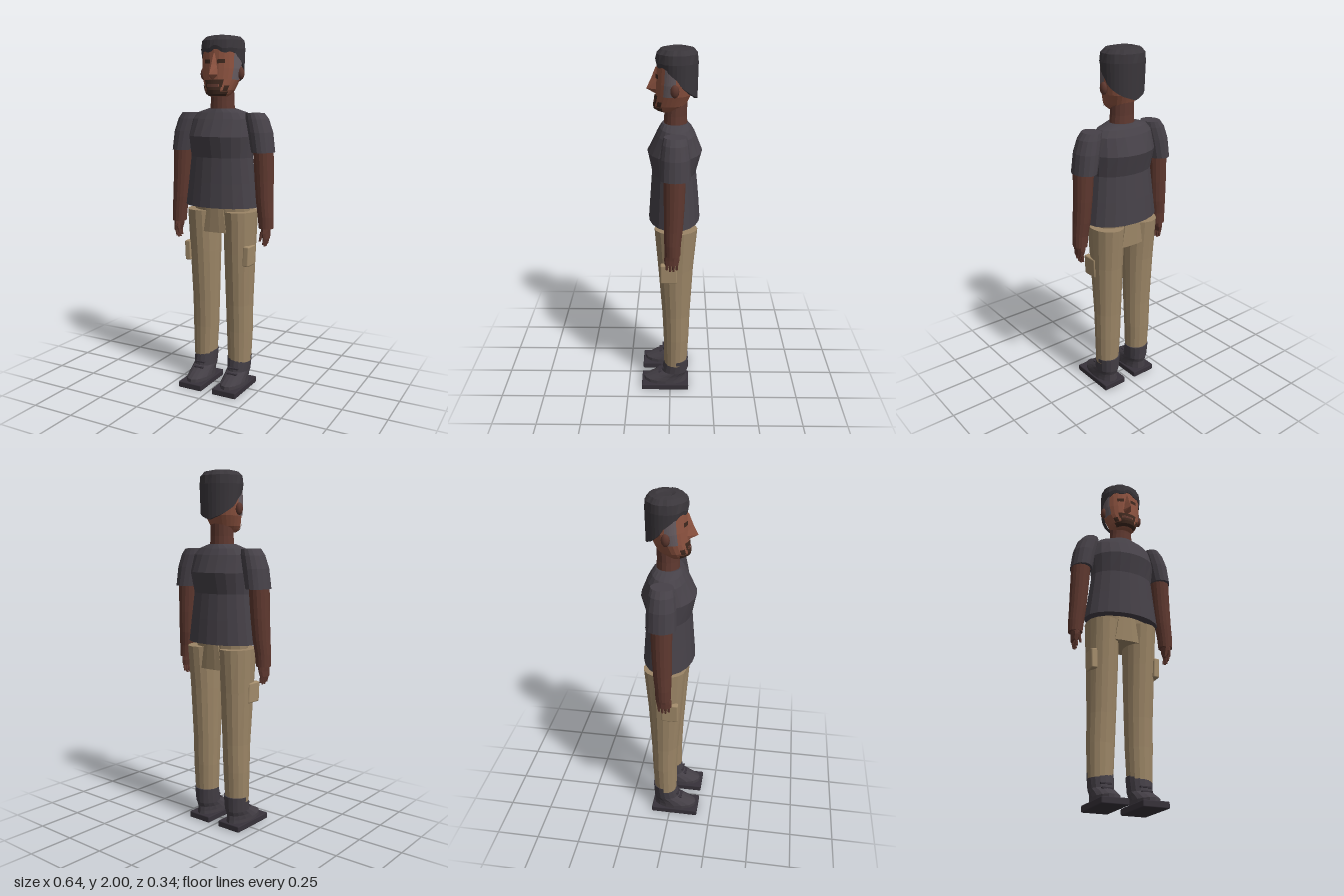
import * as THREE from 'three';
import { RoundedBoxGeometry } from 'three/addons/geometries/RoundedBoxGeometry.js';

const mat = (name, color) => {
  const m = new THREE.MeshStandardMaterial({ color });
  m.name = name;
  return m;
};

// Flat-shaded surface through rows of points, listed from bottom to top
function grid(rows) {
  const pos = [];
  for (let i = 0; i < rows.length - 1; i++) {
    for (let j = 0; j < rows[i].length - 1; j++) {
      const a = rows[i][j], b = rows[i][j + 1], c = rows[i + 1][j + 1], d = rows[i + 1][j];
      pos.push(...a, ...b, ...c, ...a, ...c, ...d);
    }
  }
  const g = new THREE.BufferGeometry();
  g.setAttribute('position', new THREE.Float32BufferAttribute(pos, 3));
  g.computeVertexNormals();
  return g;
}

// Point on a ring [y, centre x, centre z, radius x, radius z, exponent]; angle 0 is the front
function ringPoint([y, cx, cz, rx, rz, p = 2], a) {
  const f = (v) => Math.sign(v) * Math.abs(v) ** (2 / p);
  const s = Math.sin(a), c = Math.cos(a);
  const k = p > 2 ? (Math.abs(s) ** p + Math.abs(c) ** p) ** (-1 / p) : 0;
  return p > 2 ? [cx + rx * s * k, y, cz + rz * c * k] : [cx + rx * f(s), y, cz + rz * f(c)];
}

// Closed body through elliptical rings, with end caps
function loft(rings, n = 16) {
  const row = (r) => Array.from({ length: n + 1 }, (_, j) => ringPoint(r, (j / n) * Math.PI * 2));
  const tip = ([y, cx, cz]) => [y, cx, cz, 0, 0];
  return grid([tip(rings[0]), ...rings, tip(rings[rings.length - 1])].map(row));
}

const HEAD = [
  [1.67, 0, 0.005, 0.05, 0.055], [1.685, 0, 0.01, 0.066, 0.074], [1.705, 0, 0.002, 0.08, 0.086],
  [1.76, 0, -0.016, 0.102, 0.094], [1.82, 0, -0.025, 0.112, 0.1], [1.92, 0, -0.032, 0.114, 0.102],
  [1.97, 0, -0.035, 0.085, 0.08],
];

// Head ring at any height, swollen by an offset
function headRing(y, off) {
  let i = 0;
  while (i < HEAD.length - 2 && HEAD[i + 1][0] < y) i++;
  const t = (y - HEAD[i][0]) / (HEAD[i + 1][0] - HEAD[i][0]);
  const r = HEAD[i].map((v, k) => v + (HEAD[i + 1][k] - v) * t);
  return [y, 0, r[2], r[3] + off, r[4] + off];
}

// Painted area lying on the head between two angles (degrees)
function facePatch(a0, a1, ys, off = 0.004) {
  const n = Math.max(2, Math.ceil((a1 - a0) / 7));
  return grid(ys.map((y) => Array.from({ length: n + 1 }, (_, j) =>
    ringPoint(headRing(y, off), THREE.MathUtils.degToRad(a0 + ((a1 - a0) * j) / n)))));
}

// Hair cap whose lower edge drops from the forehead to the nape
function hairGeometry() {
  const n = 32;
  const edges = [[0, 1.91], [40, 1.9], [65, 1.885], [90, 1.85], [105, 1.81], [140, 1.765], [180, 1.737]];
  const edge = (deg) => {
    let i = 0;
    while (i < edges.length - 2 && edges[i + 1][0] < deg) i++;
    const [a, ya] = edges[i], [b, yb] = edges[i + 1];
    return ya + ((yb - ya) * (deg - a)) / (b - a);
  };
  const layers = [
    (b) => [b, 0, -0.032, 0.1, 0.09], (b) => [b, 0, -0.034, 0.119, 0.108],
    (b) => [Math.max(b + 0.02, 1.925), 0, -0.034, 0.124, 0.112],
    () => [1.97, 0, -0.035, 0.119, 0.108], () => [1.992, 0, -0.036, 0.095, 0.088],
    () => [2.0, -0.01, -0.038, 0.05, 0.05], () => [1.994, -0.015, -0.04, 0.032, 0.035],
    () => [1.993, -0.015, -0.04, 0, 0],
  ];
  return grid(layers.map((layer, k) => Array.from({ length: n + 1 }, (_, j) => {
    const deg = (j / n) * 360, d = Math.min(deg, 360 - deg);
    const b = edge(d) + (d < 70 && j % 4 < 2 ? 0.012 : 0);
    const r = layer(b);
    if (k > 2 && k < 5 && j % 4 === 0) { r[3] -= 0.005; r[4] -= 0.005; }
    return ringPoint(r, THREE.MathUtils.degToRad(deg));
  })));
}

export function createModel() {
  const model = new THREE.Group();
  const shirt = mat('charcoal shirt', 0x464148);
  const tan = mat('tan trousers', 0x9b8566);
  const pocketTan = mat('light tan pocket', 0xa48d6c);
  const skin = mat('face skin', 0x8f5441);
  const darkSkin = mat('arm skin', 0x5e382f);
  const hair = mat('dark hair', 0x3a363b);
  const fade = mat('short temple hair', 0x685d62);
  const beard = mat('beard and eyes', 0x40291f);
  const boot = mat('boot', 0x433e45);
  const sole = mat('sole', 0x37323a);

  const add = (name, geometry, material, parent = model) => {
    const m = new THREE.Mesh(geometry, material);
    m.name = name;
    parent.add(m);
    return m;
  };

  // Torso, neck and hips
  add('shirt', loft([
    [1.065, 0, -0.022, 0.22, 0.142], [1.2, 0, -0.022, 0.202, 0.132], [1.34, 0, -0.02, 0.185, 0.12],
    [1.455, 0, -0.024, 0.197, 0.148], [1.55, 0, -0.029, 0.183, 0.105],
    [1.585, 0, -0.028, 0.15, 0.085], [1.607, 0, -0.026, 0.078, 0.07],
  ], 20), shirt);
  add('neck', loft([[1.58, 0, -0.028, 0.073, 0.064], [1.65, 0, -0.028, 0.066, 0.06],
    [1.72, 0, -0.03, 0.064, 0.06]]), darkSkin);
  add('waist', loft([[1.0, 0, -0.028, 0.165, 0.09], [1.09, 0, -0.028, 0.17, 0.1]]), tan);
  add('crotch', loft([[0.92, 0, -0.03, 0.075, 0.1, 14], [1.08, 0, -0.03, 0.05, 0.1, 14]]), tan);

  // Head and face
  const head = new THREE.Group();
  head.name = 'head';
  model.add(head);
  add('face', loft(HEAD, 24), skin, head);
  add('hair', hairGeometry(), hair, head);
  add('nose', grid([[1.76, 0.03, 0.077], [1.787, 0.034, 0.126], [1.84, 0.026, 0.1], [1.9, 0.016, 0.076]]
    .map(([y, w, z]) => [[-w, y, 0.055], [0, y, z], [w, y, 0.055]])), skin, head);
  add('chinStrap', facePatch(-65, 65, [1.674, 1.685, 1.697]), beard, head);
  add('chinBeard', facePatch(-30, 30, [1.697, 1.705, 1.722]), beard, head);
  add('moustache', facePatch(-33, 33, [1.738, 1.748, 1.76]), beard, head);
  add('mouth', facePatch(-20, 20, [1.722, 1.738], 0.003), darkSkin, head);
  for (const s of [-1, 1]) {
    const side = (a, b, ys) => (s > 0 ? facePatch(a, b, ys) : facePatch(-b, -a, ys));
    add('mouthCornerBeard', side(22, 33, [1.722, 1.738]), beard, head);
    add('jawBeard', side(40, 58, [1.7, 1.715, 1.73]), beard, head);
    add('eye', side(11, 32, [1.846, 1.868]), beard, head);
    add('temple', side(58, 92, [1.76, 1.82, 1.9]), fade, head);
    const ear = add('ear', new THREE.SphereGeometry(1, 8, 6), darkSkin, head);
    ear.scale.set(0.018, 0.034, 0.023);
    ear.position.set(s * 0.116, 1.795, -0.024);
  }

  for (const s of [-1, 1]) {
    const limb = (name, rings, material, n) =>
      add(name, loft(rings.map(([y, x, ...r]) => [y, x * s, ...r]), n), material);

    // Sleeve and arm
    limb('sleeve', [[1.372, 0.251, -0.028, 0.063, 0.08], [1.48, 0.233, -0.028, 0.068, 0.077],
      [1.55, 0.213, -0.028, 0.064, 0.068], [1.583, 0.2, -0.028, 0.05, 0.06]], shirt);
    limb('arm', [[0.955, 0.279, -0.015, 0.04, 0.042], [1.02, 0.276, -0.015, 0.044, 0.044],
      [1.1, 0.268, -0.019, 0.048, 0.05], [1.22, 0.261, -0.023, 0.052, 0.054],
      [1.39, 0.253, -0.025, 0.056, 0.058]], darkSkin);

    // Hand with fingers and thumb
    limb('palm', [[0.9, 0.284, -0.01, 0.017, 0.036], [0.93, 0.28, -0.011, 0.022, 0.042],
      [0.965, 0.279, -0.013, 0.027, 0.038]], darkSkin, 10);
    for (let i = 0; i < 4; i++) {
      const z = -0.038 + i * 0.018, low = 0.866 - (i === 1 || i === 2 ? 0.01 : 0);
      limb('finger', [[low, 0.277, z, 0.006, 0.006], [0.915, 0.285, z, 0.009, 0.009]], darkSkin, 6);
    }
    limb('thumb', [[0.885, 0.258, 0.02, 0.006, 0.007], [0.94, 0.27, 0.018, 0.01, 0.011]], darkSkin, 6);

    // Trouser leg with cargo pocket
    limb('trouserLeg', [[0.16, 0.112, -0.031, 0.068, 0.067], [0.34, 0.111, -0.035, 0.076, 0.073],
      [0.5, 0.109, -0.034, 0.079, 0.079], [0.8, 0.111, -0.031, 0.088, 0.098],
      [1.04, 0.114, -0.032, 0.094, 0.118]], tan);
    const pocket = add('cargoPocket', new RoundedBoxGeometry(0.036, 0.115, 0.094, 1, 0.008), pocketTan);
    pocket.position.set(s * 0.186, 0.795, 0.007);
    pocket.rotation.z = s * -0.04;

    // Boot with laces and sole
    limb('boot', [[0.03, 0.11, 0.028, 0.068, 0.13], [0.055, 0.11, 0.028, 0.067, 0.127],
      [0.08, 0.11, 0.004, 0.065, 0.1], [0.105, 0.11, -0.026, 0.066, 0.077],
      [0.19, 0.11, -0.038, 0.071, 0.069]], boot);
    for (const [y, z] of [[0.098, 0.06], [0.125, 0.042]]) {
      add('lace', new THREE.BoxGeometry(0.06, 0.008, 0.02), sole).position.set(s * 0.11, y, z);
    }
    add('sole', new RoundedBoxGeometry(0.148, 0.036, 0.28, 1, 0.006), sole).position.set(s * 0.11, 0.018, 0.03);
  }
  return model;
}
